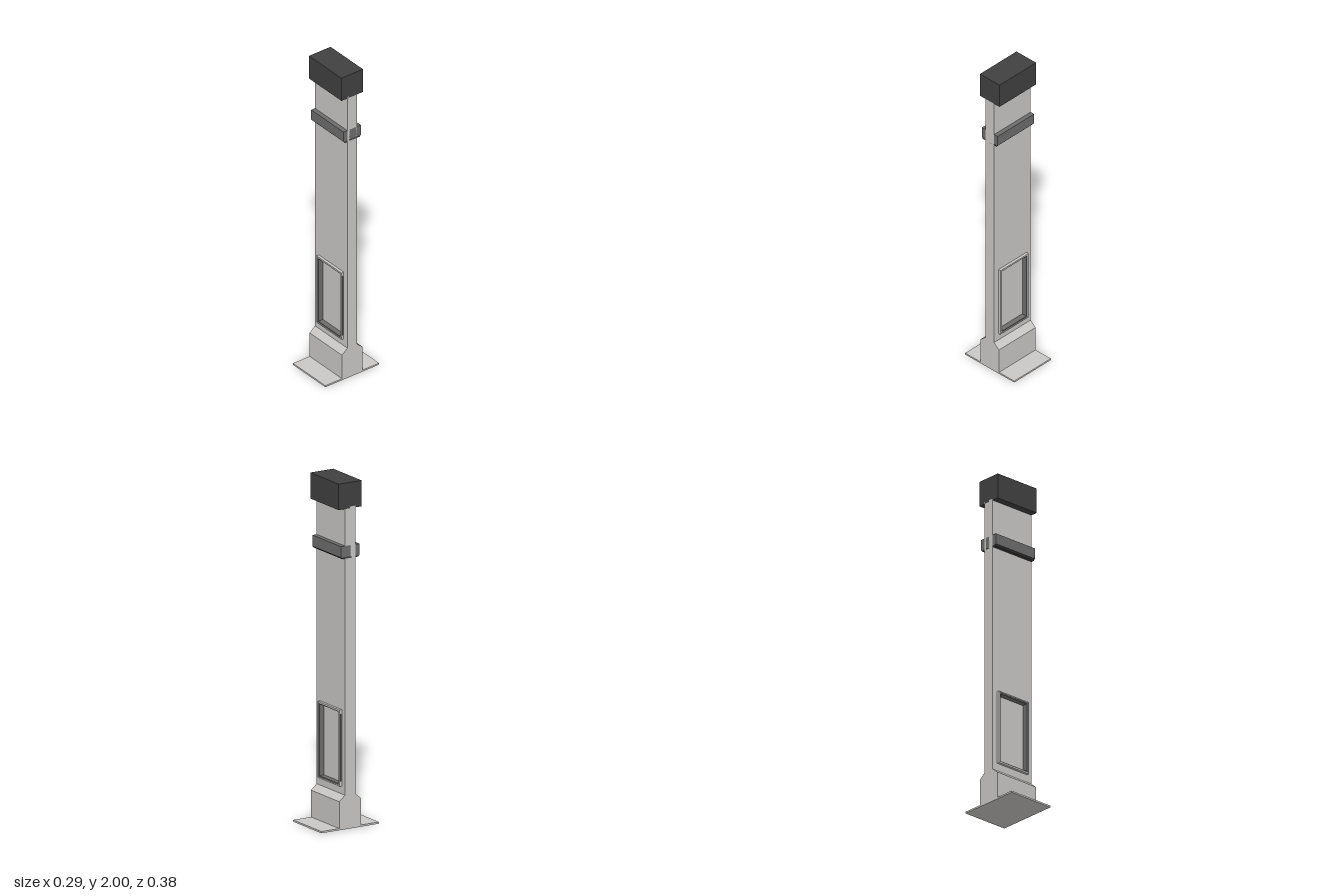
import * as THREE from 'three';

const paint = (name, color) => {
  const m = new THREE.MeshStandardMaterial({ color });
  m.name = name;
  return m;
};

export function createModel() {
  const root = new THREE.Group();
  root.name = 'pillar';
  const light = paint('light grey', 0xc8c7c5);
  const mid = paint('mid grey', 0x6c6c6c);
  const dark = paint('dark grey', 0x404040);
  const W = 0.147; // half width shared by all the main parts

  const add = (parent, name, geo, mat) => {
    const mesh = new THREE.Mesh(geo, mat);
    mesh.name = name;
    parent.add(mesh);
    return mesh;
  };
  const block = (parent, name, x0, x1, y0, y1, z0, z1, mat) =>
    add(parent, name, new THREE.BoxGeometry(x1 - x0, y1 - y0, z1 - z0), mat)
      .position.set((x0 + x1) / 2, (y0 + y1) / 2, (z0 + z1) / 2);

  // Symmetric side profile of [half depth, height] points, swept across the width
  const prism = (name, half, mat) => {
    const pts = [...half, ...half.map(([z, y]) => [-z, y]).reverse()];
    const shape = new THREE.Shape(pts.map(([z, y]) => new THREE.Vector2(z, y)));
    const geo = new THREE.ExtrudeGeometry(shape, { depth: 2 * W, bevelEnabled: false });
    geo.rotateY(-Math.PI / 2).translate(W, 0, 0);
    add(root, name, geo, mat);
  };

  // Rectangle outline with a rectangular opening, given as [halfX, y0, y1]
  const ring = (outer, inner, z0, z1) => {
    const rect = (T, [x, y0, y1]) => new T([
      new THREE.Vector2(-x, y0), new THREE.Vector2(x, y0),
      new THREE.Vector2(x, y1), new THREE.Vector2(-x, y1)]);
    const shape = rect(THREE.Shape, outer);
    shape.holes.push(rect(THREE.Path, inner));
    return new THREE.ExtrudeGeometry(shape, { depth: z1 - z0, bevelEnabled: false })
      .translate(0, 0, z0);
  };

  // Base plate, sloped foot, band and cap
  block(root, 'basePlate', -W, W, 0, 0.01, -0.19, 0.19, light);
  prism('foot', [[0.072, 0.01], [0.072, 0.165], [0.034, 0.197]], light);
  prism('band', [[0.061, 1.573], [0.061, 1.637]], mid);
  prism('bandUnderside', [[0.052, 1.563], [0.061, 1.573]], dark);
  block(root, 'cap', -W, W, 1.85, 2, -0.076, 0.076, dark);

  // Shaft core, with a skin on both faces that leaves the recess open
  const floorZ = 0.015;
  block(root, 'shaftCore', -W, W, 0.19, 1.86, -floorZ, floorZ, light);
  for (const [side, turn] of [['front', 0], ['back', Math.PI]]) {
    const face = new THREE.Group();
    face.name = side + 'Face';
    face.rotation.y = turn;
    root.add(face);
    const outer = [0.113, 0.242, 0.684];
    const middle = [0.106, 0.249, 0.677];
    const inner = [0.099, 0.256, 0.670];
    add(face, 'shaftSkin', ring([W, 0.19, 1.86], middle, floorZ, 0.034), light);
    add(face, 'frameRim', ring(outer, middle, 0.034, 0.05), light);
    add(face, 'frameLining', ring(middle, inner, floorZ, 0.047), mid);
    // Dark inset strip along one edge of the frame
    block(face, 'frameStrip', 0.112, 0.115, 0.27, 0.66, 0.035, 0.045, mid);
  }
  return root;
}
